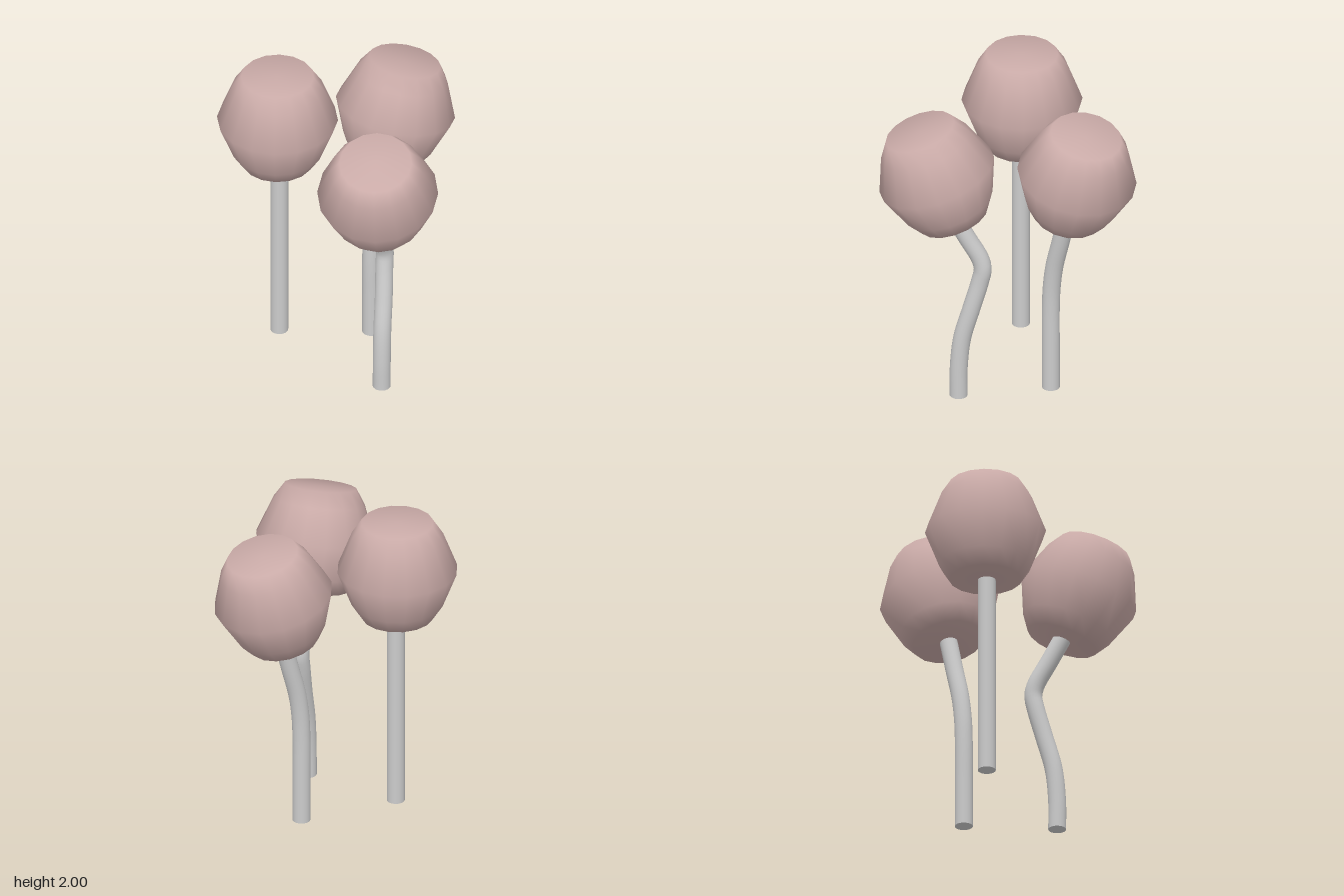
import * as THREE from 'three';

const STEM_RADIUS = 0.054;

const stemMaterial = new THREE.MeshStandardMaterial({ color: 0xcccccc });
const headMaterial = new THREE.MeshStandardMaterial({ color: 0xc9aaa7 });

// Radius and height of the rings of a head, bottom to top, around its middle
const HEAD_PROFILE = [
  [0, -0.315], [0.217, -0.315], [0.278, -0.22], [0.363, 0],
  [0.278, 0.22], [0.217, 0.315], [0, 0.315],
].map(([r, y]) => new THREE.Vector2(r, y));

// Each flower: middle and axis of its head, and the path of its stem
const FLOWERS = [
  {
    name: 'backFlower',
    head: [-0.355, 1.685, -0.41],
    axis: [0, 1, 0],
    stem: [[-0.352, 0.115, -0.397], [-0.352, 0.7, -0.397], [-0.352, 1.4, -0.397]],
  },
  {
    name: 'leftFlower',
    head: [0.352, 1.566, -0.14],
    axis: [0.245, 0.97, 0],
    stem: [
      [0.147, 0, -0.13], [0.147, 0.3, -0.13], [0.147, 0.55, -0.13], [0.154, 0.7, -0.13],
      [0.177, 0.86, -0.13], [0.23, 1.06, -0.13], [0.29, 1.29, -0.13],
    ],
  },
  {
    name: 'frontFlower',
    head: [-0.284, 1.55, 0.408],
    axis: [-0.245, 0.945, 0.21],
    stem: [
      [-0.18, 0.01, 0.328], [-0.179, 0.2, 0.328], [-0.163, 0.41, 0.315], [-0.12, 0.62, 0.28],
      [-0.083, 0.81, 0.244], [-0.07, 0.9, 0.234], [-0.085, 0.97, 0.242],
      [-0.14, 1.1, 0.287], [-0.215, 1.28, 0.35],
    ],
  },
];

// Faceted ball with flat top and bottom, smoothly shaded
function makeHead({ head, axis }) {
  const mesh = new THREE.Mesh(new THREE.LatheGeometry(HEAD_PROFILE, 16), headMaterial);
  mesh.name = 'head';
  mesh.position.set(...head);
  mesh.quaternion.setFromUnitVectors(
    new THREE.Vector3(0, 1, 0),
    new THREE.Vector3(...axis).normalize(),
  );
  return mesh;
}

// Bent round stem with a closed foot
function makeStem({ stem }) {
  const group = new THREE.Group();
  group.name = 'stem';
  const path = new THREE.CatmullRomCurve3(stem.map((p) => new THREE.Vector3(...p)));
  const tube = new THREE.Mesh(
    new THREE.TubeGeometry(path, 40, STEM_RADIUS, 20),
    stemMaterial,
  );
  tube.name = 'stalk';
  const foot = new THREE.Mesh(new THREE.CircleGeometry(STEM_RADIUS, 20), stemMaterial);
  foot.name = 'stemFoot';
  foot.position.set(...stem[0]);
  foot.rotation.x = Math.PI / 2;
  group.add(tube, foot);
  return group;
}

export function createModel() {
  const model = new THREE.Group();
  model.name = 'flowerCluster';
  for (const spec of FLOWERS) {
    const flower = new THREE.Group();
    flower.name = spec.name;
    flower.add(makeStem(spec), makeHead(spec));
    model.add(flower);
  }
  return model;
}
